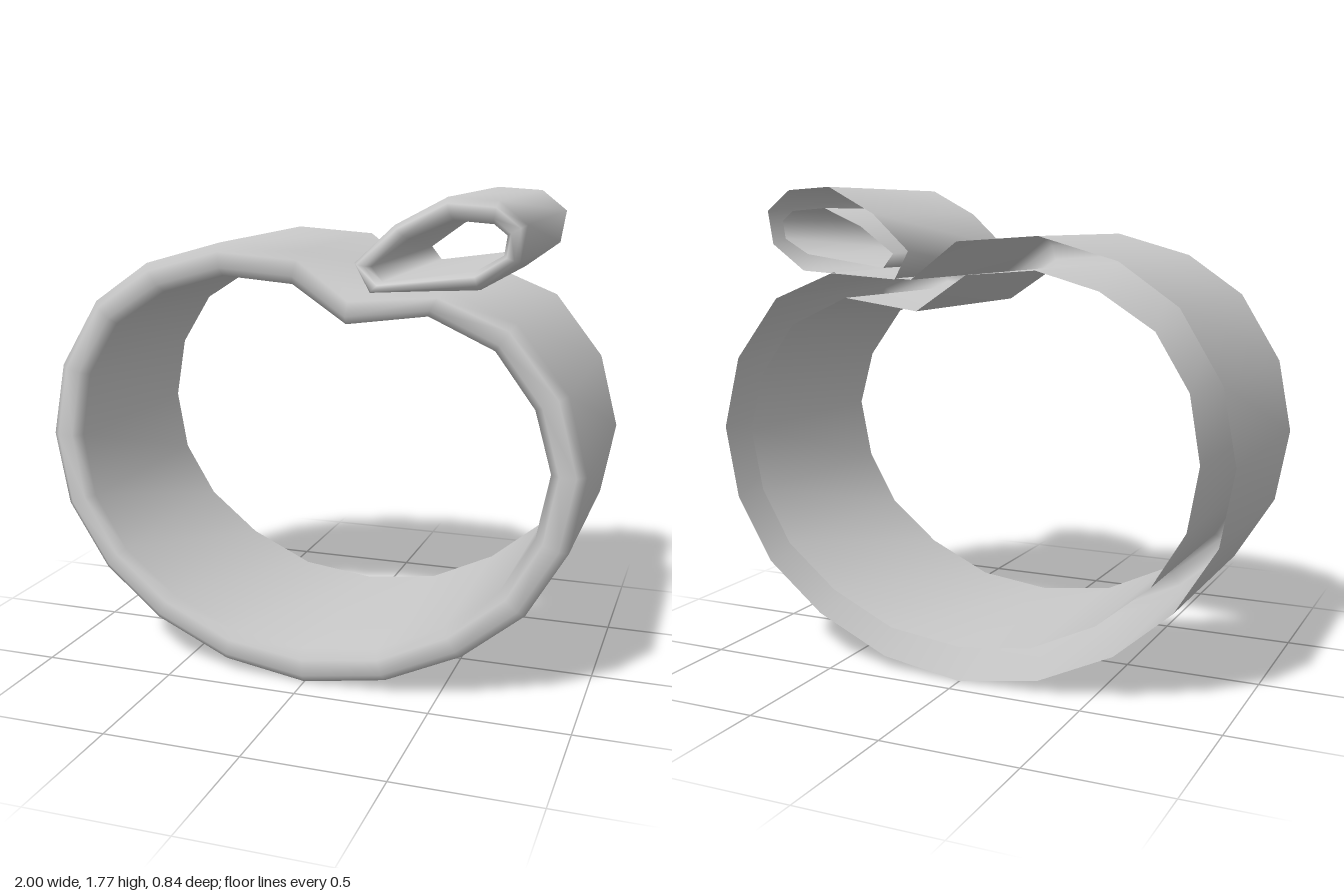
import * as THREE from 'three';

const BACK = -0.42, FRONT = 0.42, BEVEL = 0.03;

// Hollow double wall: outer skin, bevelled front rim, inner skin; open at the back.
// Both outlines run counter-clockwise and have matching points.
function hollowBand(name, outer, inner, material) {
  const count = outer.length;
  // [blend from outer to inner outline, z]
  const section = [[0, BACK], [0, FRONT - BEVEL], [0.26, FRONT], [0.74, FRONT], [1, FRONT - BEVEL], [1, BACK]];
  const rows = section.length;
  const positions = [], index = [];
  for (let i = 0; i < count; i++) {
    for (const [t, z] of section) {
      positions.push(
        THREE.MathUtils.lerp(outer[i][0], inner[i][0], t),
        THREE.MathUtils.lerp(outer[i][1], inner[i][1], t), z);
    }
    const a = i * rows, b = ((i + 1) % count) * rows;
    for (let k = 0; k < rows - 1; k++) {
      index.push(a + k, b + k, b + k + 1, a + k, b + k + 1, a + k + 1);
    }
  }
  const geometry = new THREE.BufferGeometry();
  geometry.setAttribute('position', new THREE.Float32BufferAttribute(positions, 3));
  geometry.setIndex(index);
  geometry.computeVertexNormals();
  const mesh = new THREE.Mesh(geometry, material);
  mesh.name = name;
  return mesh;
}

export function createModel() {
  const group = new THREE.Group();
  group.name = 'fruitCutter';
  const material = new THREE.MeshStandardMaterial({ color: 0xcccccc, side: THREE.DoubleSide });

  // Round fruit outline with a notch at the top
  const bodyOuter = [
    [0, 0], [0.31, 0.05], [0.59, 0.18], [0.81, 0.36], [0.95, 0.6], [1, 0.87], [0.93, 1.14],
    [0.75, 1.37], [0.5, 1.47], [0.18, 1.45], [0, 1.585], [-0.305, 1.605], [-0.59, 1.525],
    [-0.8, 1.38], [-0.95, 1.135], [-1, 0.87], [-0.95, 0.6], [-0.8, 0.36], [-0.59, 0.18], [-0.31, 0.05],
  ];
  const bodyInner = [
    [0, 0.13], [0.28, 0.165], [0.525, 0.28], [0.72, 0.44], [0.835, 0.64], [0.88, 0.87], [0.82, 1.085],
    [0.68, 1.275], [0.45, 1.38], [0.16, 1.34], [-0.035, 1.47], [-0.295, 1.49], [-0.525, 1.425],
    [-0.72, 1.3], [-0.84, 1.105], [-0.88, 0.87], [-0.84, 0.64], [-0.72, 0.44], [-0.525, 0.28], [-0.28, 0.165],
  ];
  group.add(hollowBand('body', bodyOuter, bodyInner, material));

  // Leaf outline resting above the notch
  const leafOuter = [
    [0.245, 1.45], [0.625, 1.475], [0.755, 1.57], [0.775, 1.69],
    [0.68, 1.765], [0.51, 1.775], [0.33, 1.68], [0.19, 1.55],
  ];
  const leafInner = [
    [0.29, 1.49], [0.605, 1.535], [0.7, 1.59], [0.71, 1.655],
    [0.665, 1.69], [0.53, 1.7], [0.38, 1.635], [0.25, 1.54],
  ];
  group.add(hollowBand('leaf', leafOuter, leafInner, material));
  return group;
}
